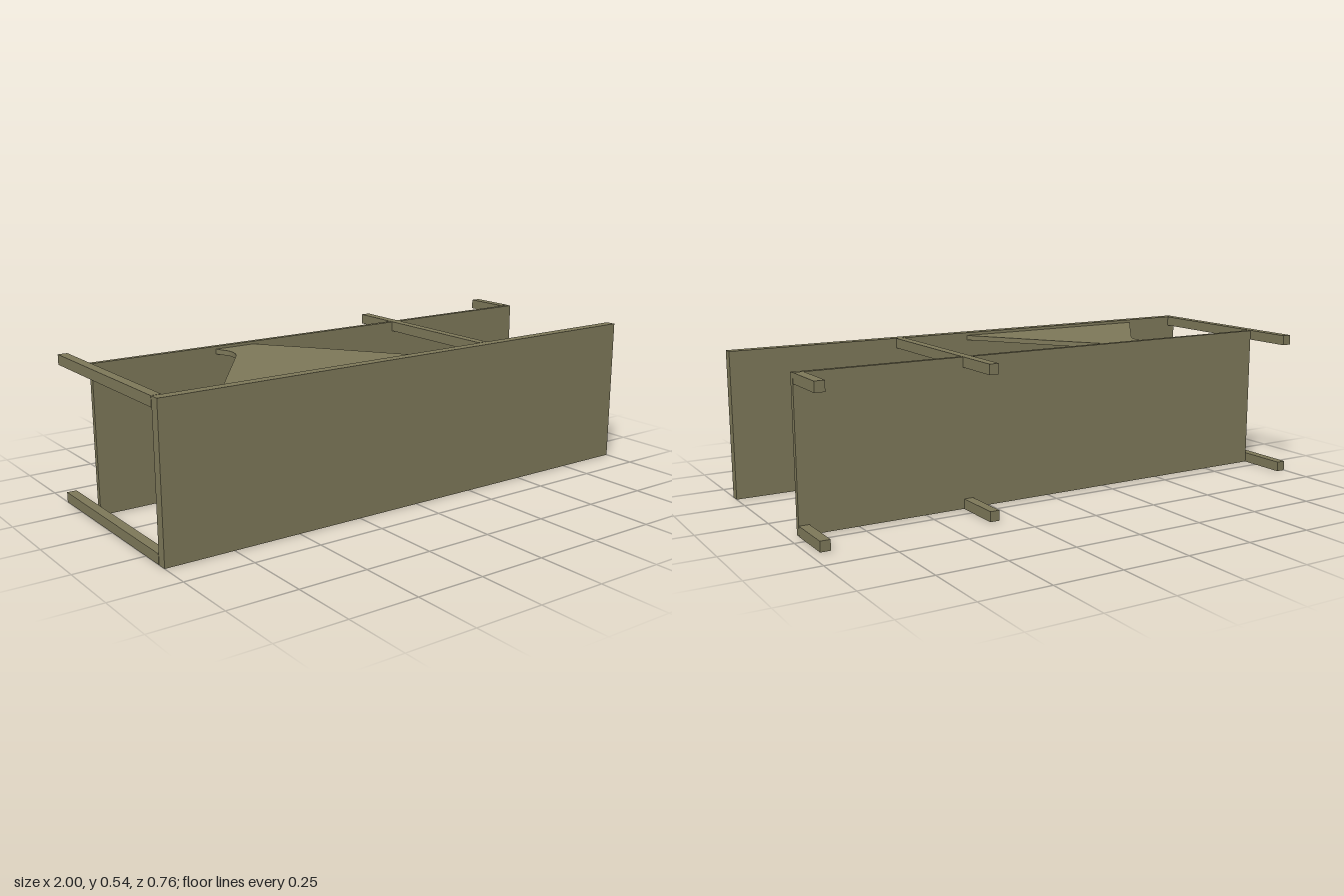
import * as THREE from 'three';

export function createModel() {
  const model = new THREE.Group();
  const olive = new THREE.MeshStandardMaterial({ color: 0x7d7859 });
  olive.name = 'olive';

  const add = (name, geometry) => {
    const mesh = new THREE.Mesh(geometry, olive);
    mesh.name = name;
    model.add(mesh);
  };

  // Box given by its minimum and maximum on each axis
  const box = (name, [x0, x1], [y0, y1], [z0, z1]) =>
    add(name, new THREE.BoxGeometry(x1 - x0, y1 - y0, z1 - z0)
      .translate((x0 + x1) / 2, (y0 + y1) / 2, (z0 + z1) / 2));

  const height = 0.543;
  const rail = 0.037;

  // Upright panels
  box('frontPanel', [-1, 1], [0, height], [0.341, 0.378]);
  box('rearPanel', [-0.963, 0.963], [0.001, height - 0.001], [-0.194, -0.175]);

  // Matching rails along the bottom and the top
  for (const [level, y] of [['lower', 0], ['upper', height - rail]]) {
    const span = [y, y + rail];
    box(level + 'RightRail', [-1, -0.965], span, [-0.378, 0.338]);
    box(level + 'MiddleRail', [0.316, 0.351], span, [-0.378, 0.338]);
    box(level + 'LeftStub', [0.927, 0.963], span, [-0.378, -0.196]);
  }

  // Flat gusset joining the two panels near the top, with a curved notch
  const outline = new THREE.Shape();
  outline.moveTo(-0.757, 0.34);
  outline.lineTo(-0.497, -0.02);
  outline.bezierCurveTo(-0.465, -0.06, -0.46, -0.105, -0.468, -0.125);
  outline.lineTo(-0.488, -0.176);
  outline.lineTo(-0.33, -0.176);
  outline.lineTo(-0.19, 0.01);
  outline.lineTo(0.043, 0.34);
  outline.closePath();
  const gusset = new THREE.ExtrudeGeometry(outline, { depth: 0.018, bevelEnabled: false, curveSegments: 8 });
  gusset.rotateX(Math.PI / 2).translate(0, 0.532, 0);
  add('gusset', gusset);

  return model;
}
